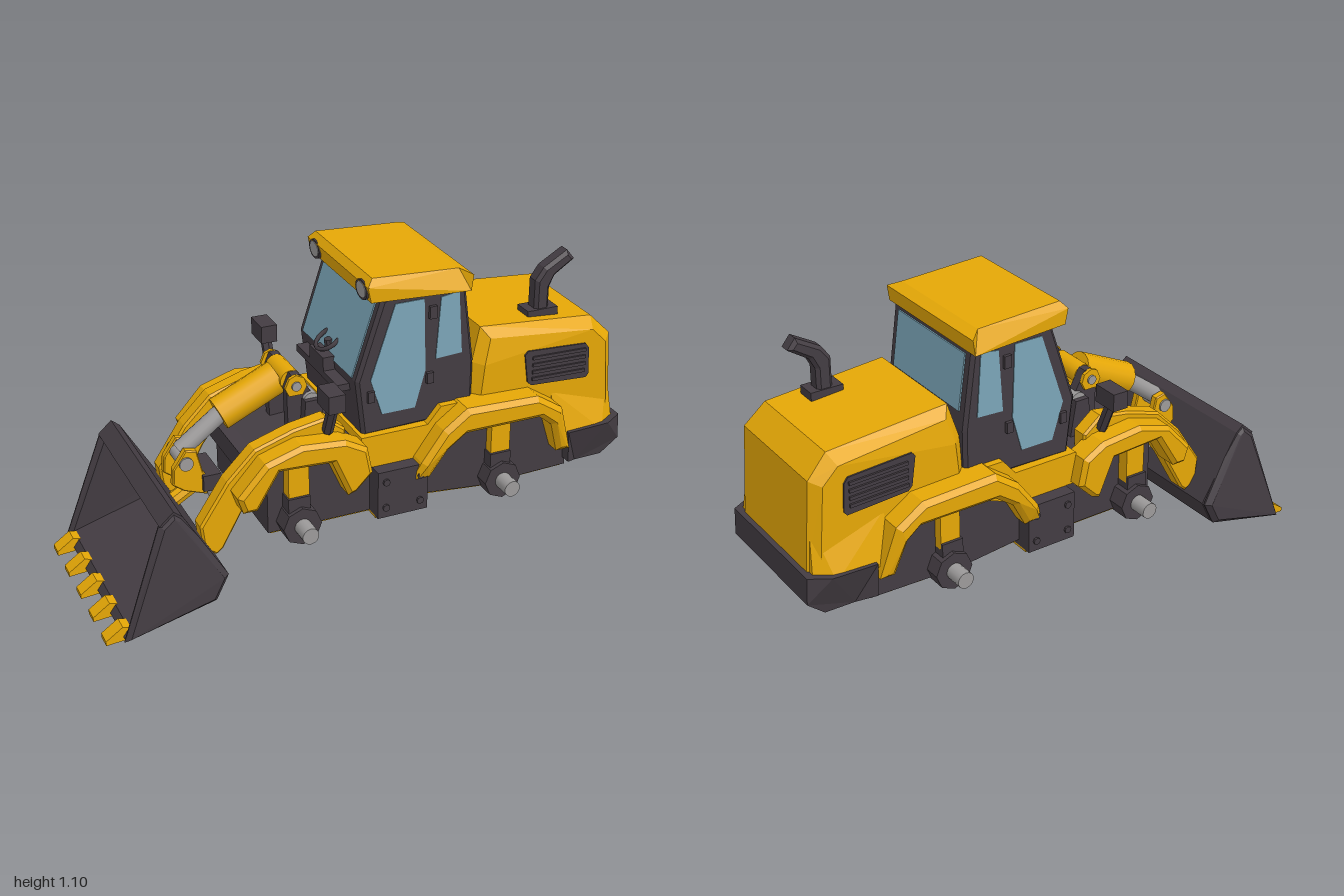
import * as THREE from 'three';

const mat = (name, color) => Object.assign(new THREE.MeshStandardMaterial({ color }), { name });

export function createModel() {
  const model = new THREE.Group();
  const yellow = mat('yellow paint', 0xe5a706);
  const dark = mat('charcoal', 0x433c42);
  const glass = mat('blue glass', 0x7ba5b7);
  const steel = mat('grey steel', 0x9c9a9a);

  const add = (name, geometry, material) => {
    const mesh = new THREE.Mesh(geometry, material);
    mesh.name = name;
    model.add(mesh);
    return mesh;
  };
  // Side profile in x,y swept from z0 to z1 with chamfered edges
  const slab = (name, pts, z0, z1, material, bevel = 0, warp) => {
    const shape = new THREE.Shape(pts.map(p => new THREE.Vector2(...p)));
    const g = new THREE.ExtrudeGeometry(shape, {
      depth: z1 - z0 - 2 * bevel, bevelEnabled: bevel > 0, bevelSize: bevel,
      bevelThickness: bevel, bevelOffset: -bevel, bevelSegments: 1
    });
    g.translate(0, 0, z0 + bevel);
    if (warp) {
      const p = g.attributes.position;
      for (let i = 0; i < p.count; i++) p.setZ(i, p.getZ(i) * warp(p.getX(i), p.getY(i)));
      g.computeVertexNormals();
    }
    return add(name, g, material);
  };
  // The same profile on both sides of the machine
  const pair = (name, pts, z0, z1, material, bevel = 0, warp) => {
    slab(name + 'Left', pts, z0, z1, material, bevel, warp);
    slab(name + 'Right', pts, -z1, -z0, material, bevel, warp);
  };
  const box = (name, x0, x1, y0, y1, z0, z1, material) => {
    const g = new THREE.BoxGeometry(x1 - x0, y1 - y0, z1 - z0);
    g.translate((x0 + x1) / 2, (y0 + y1) / 2, (z0 + z1) / 2);
    return add(name, g, material);
  };
  // Cylinder between two points
  const rod = (name, a, b, r, material, sides = 14) => {
    const A = new THREE.Vector3(...a), B = new THREE.Vector3(...b), d = B.clone().sub(A);
    let g = new THREE.CylinderGeometry(r, r, d.length(), sides);
    if (sides < 10) { g = g.toNonIndexed(); g.computeVertexNormals(); }
    const m = add(name, g, material);
    m.position.copy(A).add(B).multiplyScalar(0.5);
    m.quaternion.setFromUnitVectors(new THREE.Vector3(0, 1, 0), d.normalize());
    return m;
  };

  // Chassis halves, joint and belly
  slab('frontChassis', [[-0.39, 0.24], [-0.39, 0.5], [-0.06, 0.52], [0.0, 0.43], [0.0, 0.24]], -0.25, 0.25, dark);
  box('frontNose', -0.44, -0.38, 0.42, 0.5, -0.18, 0.18, dark);
  slab('rearChassis', [[0.17, 0.265], [0.17, 0.42], [0.25, 0.52], [0.7, 0.52], [0.77, 0.42], [0.77, 0.25], [0.42, 0.24]], -0.26, 0.26, dark);
  box('jointBlock', -0.01, 0.18, 0.24, 0.42, -0.32, 0.32, dark);
  box('frontBelly', -0.38, -0.01, 0.234, 0.242, -0.245, 0.245, yellow);
  box('jointBelly', -0.01, 0.18, 0.233, 0.241, -0.3, 0.3, yellow);
  slab('rearBelly', [[0.18, 0.255], [0.42, 0.232], [0.76, 0.242], [0.76, 0.25], [0.42, 0.24], [0.18, 0.263]], -0.25, 0.25, yellow);
  slab('waistBelt', [[-0.06, 0.5], [-0.04, 0.42], [0.18, 0.42], [0.4, 0.5], [0.4, 0.6], [0.25, 0.6], [0.2, 0.54], [-0.05, 0.54]], -0.27, 0.27, yellow);
  for (const s of [-1, 1]) for (const x of [0.02, 0.15]) for (const y of [0.28, 0.38])
    rod('jointBolt', [x, y, s * 0.315], [x, y, s * 0.328], 0.013, dark, 8);

  // Axles
  for (const x of [-0.29, 0.48]) {
    rod('axleTube', [x, 0.28, -0.24], [x, 0.28, 0.24], 0.05, dark, 8);
    for (const s of [-1, 1]) {
      rod('hub', [x, 0.28, s * 0.2], [x, 0.28, s * 0.32], 0.07, dark, 8);
      box('hubMount', x - 0.045, x + 0.035, 0.33, 0.385, s * 0.27 - 0.035, s * 0.27 + 0.035, dark);
      box('hubStrut', x - 0.04, x + 0.035, 0.36, 0.53, s * 0.265 - 0.03, s * 0.265 + 0.03, yellow);
      rod('axleStub', [x, 0.28, s * 0.3], [x, 0.28, s * 0.39], 0.03, steel);
    }
  }

  // Fenders
  const lean = (x, y) => (y < 0.4 ? 0.94 : 1);
  pair('frontFender', [[-0.5, 0.38], [-0.52, 0.44], [-0.42, 0.55], [-0.29, 0.59], [-0.13, 0.575], [-0.05, 0.53],
    [-0.03, 0.43], [-0.09, 0.37], [-0.12, 0.36], [-0.18, 0.5], [-0.37, 0.51], [-0.45, 0.38]], 0.22, 0.33, yellow, 0.015);
  pair('rearFender', [[0.12, 0.355], [0.15, 0.43], [0.23, 0.54], [0.32, 0.605], [0.6, 0.595], [0.7, 0.53], [0.755, 0.345],
    [0.7, 0.345], [0.66, 0.47], [0.61, 0.51], [0.32, 0.51], [0.25, 0.46], [0.19, 0.355]], 0.2, 0.347, yellow, 0.018, lean);

  // Lift arms
  pair('liftArm', [[-0.575, 0.2], [-0.62, 0.23], [-0.63, 0.32], [-0.53, 0.47], [-0.43, 0.57], [-0.29, 0.615], [-0.17, 0.635],
    [-0.1, 0.58], [-0.1, 0.48], [-0.37, 0.5], [-0.46, 0.38], [-0.55, 0.22]], 0.185, 0.25, yellow, 0.008);

  // Tower, tilt ram and bucket linkage
  pair('tower', [[-0.25, 0.48], [-0.255, 0.69], [-0.235, 0.74], [-0.205, 0.74], [-0.13, 0.6], [-0.08, 0.48]], 0.07, 0.105, dark);
  pair('towerFoot', [[-0.21, 0.5], [-0.2, 0.65], [-0.145, 0.65], [-0.12, 0.5]], 0.1, 0.14, dark);
  rod('towerPin', [-0.17, 0.64, -0.12], [-0.17, 0.64, 0.12], 0.03, steel);
  rod('tiltPivot', [-0.225, 0.705, -0.07], [-0.225, 0.705, 0.07], 0.038, yellow);
  pair('tiltEye', [[-0.265, 0.7], [-0.25, 0.735], [-0.225, 0.745], [-0.195, 0.73], [-0.185, 0.7], [-0.2, 0.67], [-0.25, 0.67]], 0.105, 0.118, yellow);
  rod('tiltPivotPin', [-0.225, 0.705, -0.125], [-0.225, 0.705, 0.125], 0.017, steel);
  rod('tiltBarrel', [-0.25, 0.695, 0], [-0.465, 0.595, 0], 0.06, yellow);
  rod('tiltRod', [-0.455, 0.6, 0], [-0.61, 0.485, 0], 0.032, steel);
  pair('lever', [[-0.66, 0.39], [-0.655, 0.45], [-0.61, 0.515], [-0.57, 0.505], [-0.55, 0.42], [-0.51, 0.37], [-0.54, 0.33], [-0.62, 0.36]], 0.035, 0.065, yellow, 0.004);
  rod('leverPin', [-0.61, 0.465, -0.072], [-0.61, 0.465, 0.072], 0.025, steel);
  box('leverBracket', -0.555, -0.49, 0.35, 0.41, -0.08, 0.08, dark);
  rod('bracketPin', [-0.505, 0.328, -0.085], [-0.505, 0.328, 0.085], 0.028, steel);
  rod('bucketLink', [-0.54, 0.36, 0], [-0.64, 0.3, 0], 0.028, yellow, 8);

  // Bucket with open mouth and five teeth
  slab('bucketShell', [[-0.94, 0.022], [-0.62, 0.1], [-0.575, 0.19], [-0.72, 0.44], [-0.75, 0.465], [-0.8, 0.42],
    [-0.75, 0.41], [-0.615, 0.2], [-0.65, 0.13], [-0.92, 0.05]], -0.345, 0.345, dark);
  pair('bucketSide', [[-0.945, 0.02], [-0.62, 0.1], [-0.575, 0.19], [-0.72, 0.44], [-0.75, 0.465], [-0.8, 0.42]], 0.335, 0.377, dark, 0.018,
    (x, y) => (y > 0.4 ? 0.94 : 1));
  for (let i = -2; i <= 2; i++)
    slab('bucketTooth', [[-1, 0.002], [-1, 0.018], [-0.94, 0.06], [-0.905, 0.05], [-0.92, 0.008]], i * 0.15 - 0.028, i * 0.15 + 0.028, yellow);

  // Cab
  slab('cabFrame', [[-0.035, 0.53], [-0.06, 0.74], [0.035, 1.03], [0.345, 1.03], [0.385, 0.74], [0.385, 0.54]], -0.245, 0.245, dark, 0.012);
  pair('doorGlass', [[0.08, 1.005], [0.187, 1.005], [0.197, 0.74], [0.16, 0.605], [0.035, 0.605], [-0.008, 0.74]], 0.241, 0.248, glass);
  pair('sideGlass', [[0.25, 1.0], [0.318, 1.01], [0.335, 0.78], [0.235, 0.775]], 0.241, 0.248, glass);
  pair('doorHandle', [[0.2, 0.69], [0.225, 0.69], [0.225, 0.73], [0.2, 0.73]], 0.24, 0.258, dark);
  pair('cabHinge', [[-0.02, 0.66], [0.005, 0.66], [0.005, 0.7], [-0.02, 0.7]], 0.24, 0.256, dark);
  pair('pillarLatch', [[0.205, 0.93], [0.232, 0.93], [0.232, 0.975], [0.205, 0.975]], 0.24, 0.257, dark);
  slab('windshield', [[-0.063, 0.745], [0.025, 1.015], [0.032, 1.015], [-0.056, 0.745]], -0.21, 0.21, glass);
  slab('rearWindow', [[0.382, 0.8], [0.354, 1.0], [0.347, 1.0], [0.375, 0.8]], -0.207, 0.207, glass);
  slab('roof', [[-0.01, 1.025], [-0.022, 1.08], [0.0, 1.105], [0.32, 1.088], [0.36, 1.07], [0.352, 1.013]], -0.268, 0.268, yellow, 0,
    (x, y) => (y > 1.085 ? 0.87 : 1) * (x < -0.005 ? 0.94 : 1));
  // Oval work lights set flush in the front roof corners
  for (const s of [-1, 1]) {
    rod('lightHousing', [-0.0215, 1.055, s * 0.195], [0.01, 1.055, s * 0.195], 0.034, dark).scale.z = 1.35;
    rod('lightLens', [-0.0235, 1.055, s * 0.195], [0.01, 1.055, s * 0.195], 0.027, steel).scale.z = 1.35;
  }
  // Steering wheel and console shelf
  const wheel = add('steeringWheel', new THREE.TorusGeometry(0.05, 0.008, 6, 16), dark);
  wheel.position.set(-0.055, 0.8, 0);
  wheel.rotation.set(0, Math.PI / 2, 0);
  wheel.rotateX(1.0);
  rod('steeringColumn', [-0.055, 0.8, 0], [-0.045, 0.68, 0], 0.016, dark, 8);
  box('console', -0.1, -0.03, 0.69, 0.76, -0.06, 0.06, dark);
  box('consoleShelf', -0.1, -0.03, 0.685, 0.71, -0.18, 0.18, dark);

  // Mirrors on stalks
  for (const s of [-1, 1]) {
    box('mirror', -0.205, -0.145, 0.7, 0.765, s * 0.3 - 0.05, s * 0.3 + 0.05, dark);
    rod('mirrorStalk', [-0.17, 0.59, s * 0.255], [-0.17, 0.71, s * 0.305], 0.02, dark, 6);
  }

  // Engine hood and the flared quarters beneath it
  slab('hood', [[0.37, 0.5], [0.39, 0.72], [0.425, 0.842], [0.87, 0.805], [0.945, 0.73], [0.972, 0.39], [0.7, 0.39], [0.6, 0.5]],
    -0.255, 0.255, yellow, 0.035, (x, y) => (y > 0.78 ? 0.94 : 1));
  slab('rearQuarter', [[0.7, 0.38], [0.7, 0.56], [0.9, 0.6], [0.95, 0.58], [0.965, 0.39], [0.9, 0.38]], -0.292, 0.292, yellow, 0,
    (x, y) => (y > 0.5 ? 0.865 : 1) * (x > 0.92 ? 0.86 : 1));
  // Louvred grilles
  pair('grille', [[0.58, 0.725], [0.592, 0.738], [0.825, 0.725], [0.84, 0.705], [0.845, 0.603], [0.835, 0.59], [0.61, 0.603], [0.595, 0.618]], 0.25, 0.261, dark);
  for (let i = 0; i < 4; i++) {
    const y = 0.622 + i * 0.027;
    pair('grilleSlat', [[0.61, y], [0.825, y - 0.006], [0.825, y + 0.006], [0.61, y + 0.012]], 0.258, 0.268, dark);
  }

  // Exhaust
  box('exhaustBase', 0.635, 0.755, 0.81, 0.845, 0.098, 0.172, dark);
  slab('exhaustPipe', [[0.668, 0.83], [0.668, 0.95], [0.7, 0.995], [0.79, 1.047], [0.82, 1.01], [0.745, 0.96], [0.725, 0.92], [0.725, 0.83]],
    0.103, 0.165, dark, 0.012);

  // Rear counterweight, chamfered at the back corners and along the bottom
  slab('counterweight', [[0.76, 0.28], [0.755, 0.4], [0.92, 0.406], [0.99, 0.408], [0.995, 0.31], [0.93, 0.252], [0.82, 0.25]], -0.302, 0.302, dark, 0,
    (x, y) => (y < 0.26 ? 0.83 : 1) * (x > 0.96 ? 0.86 : 1));

  return model;
}
